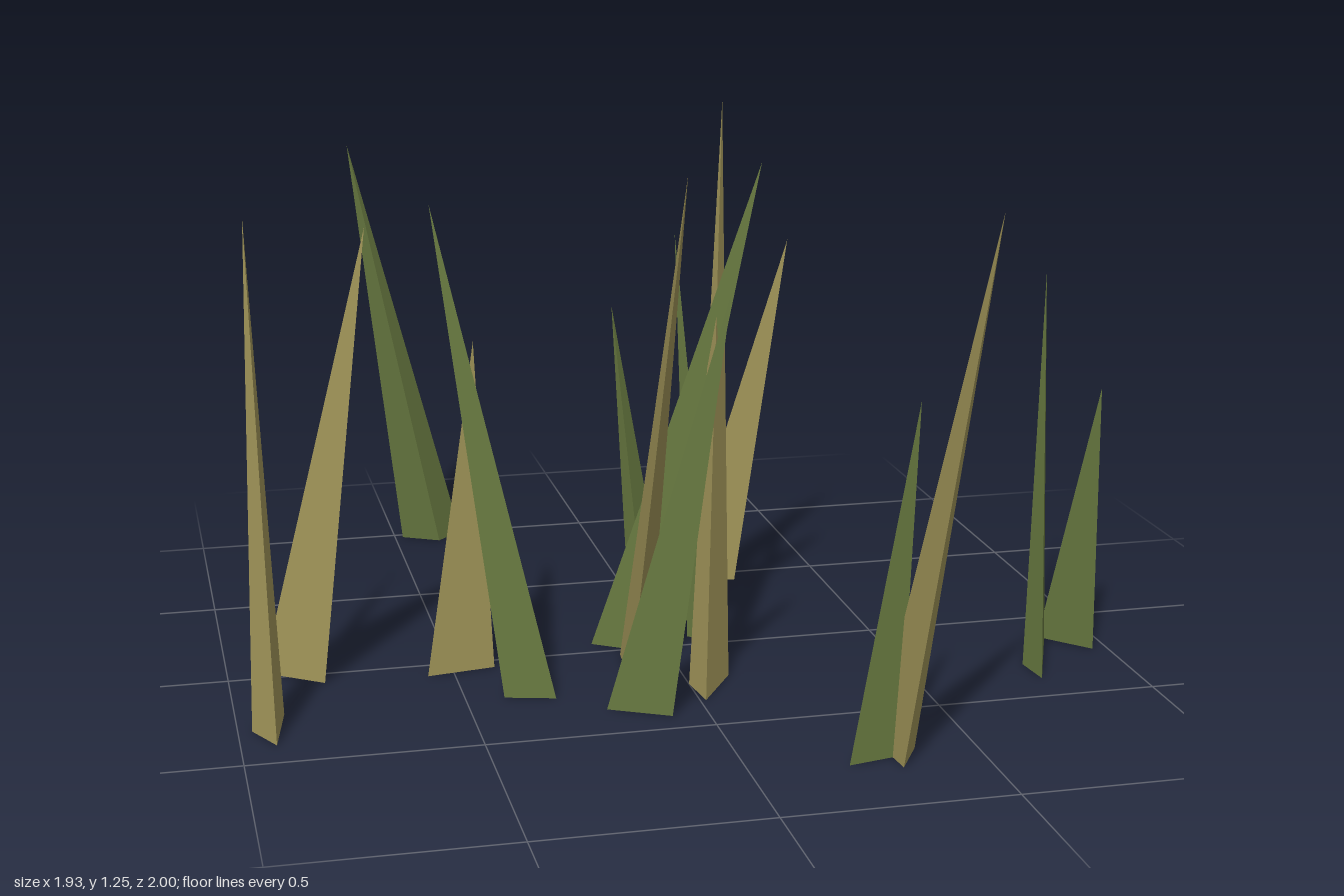
import * as THREE from 'three';

const green = new THREE.MeshStandardMaterial({ color: 0x66773f });
green.name = 'grassGreen';
const straw = new THREE.MeshStandardMaterial({ color: 0xa09458 });
straw.name = 'dryStraw';

// One blade: a triangular base on the ground drawn to a leaning tip.
// tip is [x, y, z]; a, b, c are [x, z] ground corners.
function bladeGeometry(tip, a, b, c) {
  const area = (b[0] - a[0]) * (c[1] - a[1]) - (b[1] - a[1]) * (c[0] - a[0]);
  const ring = (area < 0 ? [a, b, c] : [a, c, b]).map(([x, z]) => new THREE.Vector3(x, 0, z));
  const top = new THREE.Vector3(...tip);
  const points = [ring[2], ring[1], ring[0]];
  for (let i = 0; i < 3; i++) points.push(ring[i], ring[(i + 1) % 3], top);
  const geometry = new THREE.BufferGeometry().setFromPoints(points);
  geometry.computeVertexNormals();
  return geometry;
}

// Tip followed by the three ground corners
const strawBlades = [
  [[0.43, 0.85, -0.5], [0.135, -0.445], [0.21, -0.505], [0.285, -0.44]],
  [[-0.675, 1.03, 0.07], [-0.92, -0.035], [-0.82, -0.04], [-0.79, 0.06]],
  [[-0.935, 1.07, 0.115], [-0.895, 0.23], [-0.925, 0.405], [-0.97, 0.315]],
  [[-0.44, 0.76, 0.04], [-0.56, 0.07], [-0.495, 0], [-0.405, 0.045]],
  [[-0.055, 1.18, 0.455], [-0.11, 0.03], [-0.06, 0.11], [-0.125, 0.21]],
  [[0.167, 1.25, -0.13], [0.1, 0.215], [0.013, 0.355], [0, 0.25]],
  [[0.427, 1.18, 0.995], [0.3, 0.66], [0.37, 0.72], [0.315, 0.815]],
];
const greenBlades = [
  [[-0.605, 1.06, -0.907], [-0.48, -0.98], [-0.325, -1], [-0.39, -0.93]],
  [[-0.54, 1.08, 0.105], [-0.39, 0.17], [-0.305, 0.27], [-0.415, 0.24]],
  [[0.205, 1.14, 0.077], [-0.16, -0.055], [-0.02, -0.03], [-0.02, 0.04]],
  [[-0.105, 0.8, -0.07], [0.04, -0.095], [-0.06, -0.085], [-0.03, -0.03]],
  [[0.03, 0.97, -0.02], [0.14, -0.1], [0.125, -0.01], [0.07, -0.055]],
  [[0.045, 0.94, 0.44], [-0.21, 0.36], [-0.11, 0.345], [-0.08, 0.43]],
  [[0.89, 0.86, 0.06], [0.875, 0.165], [0.78, 0.395], [0.77, 0.3]],
  [[0.95, 0.63, 0.265], [0.87, 0.135], [0.965, 0.17], [0.965, 0.24]],
  [[0.365, 0.75, 0.725], [0.21, 0.78], [0.275, 0.705], [0.325, 0.755]],
];

export function createModel() {
  const model = new THREE.Group();
  model.name = 'grassTuft';
  const plant = (blades, material, name) => blades.forEach((blade, i) => {
    const mesh = new THREE.Mesh(bladeGeometry(...blade), material);
    mesh.name = name + (i + 1);
    model.add(mesh);
  });
  plant(strawBlades, straw, 'dryBlade');
  plant(greenBlades, green, 'greenBlade');
  return model;
}
